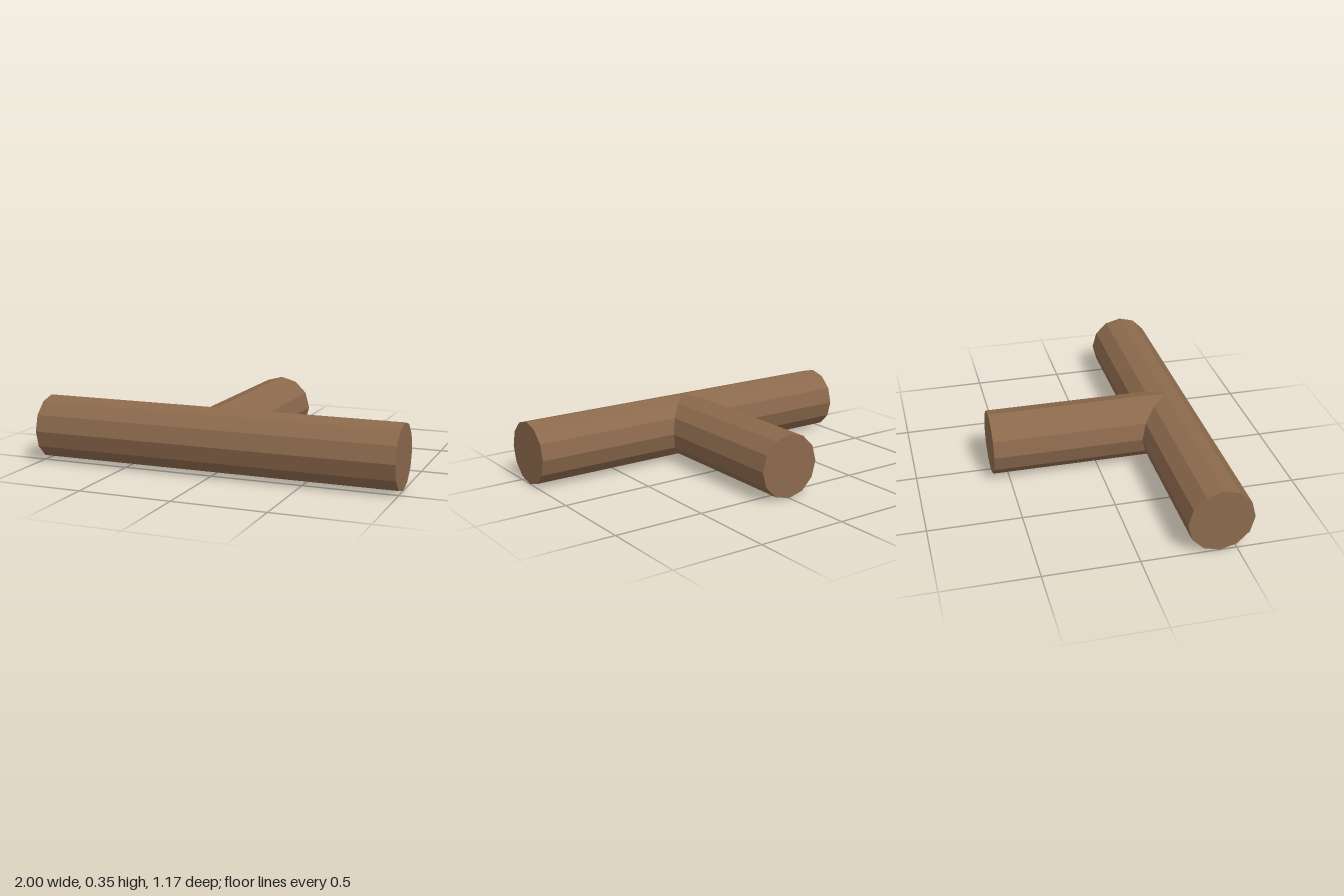
import * as THREE from 'three';

export function createModel() {
  const group = new THREE.Group();
  const radius = 0.175;
  const axisZ = 0.4125; // depth of the main log's axis

  const wood = new THREE.MeshStandardMaterial({ color: 0x8b694c });
  wood.name = 'brown wood';
  wood.flatShading = true;

  // Twelve-sided log lying along x or z
  function addLog(name, length, axis, z) {
    const geometry = new THREE.CylinderGeometry(radius, radius, length, 12);
    if (axis === 'x') geometry.rotateZ(Math.PI / 2);
    else geometry.rotateX(Math.PI / 2);
    const mesh = new THREE.Mesh(geometry, wood);
    mesh.name = name;
    mesh.position.set(0, radius, z);
    group.add(mesh);
  }

  // Long log across the front
  addLog('mainLog', 2, 'x', axisZ);

  // Branch running back from the middle of the main log
  addLog('branchLog', 1, 'z', axisZ - 0.5);

  return group;
}
